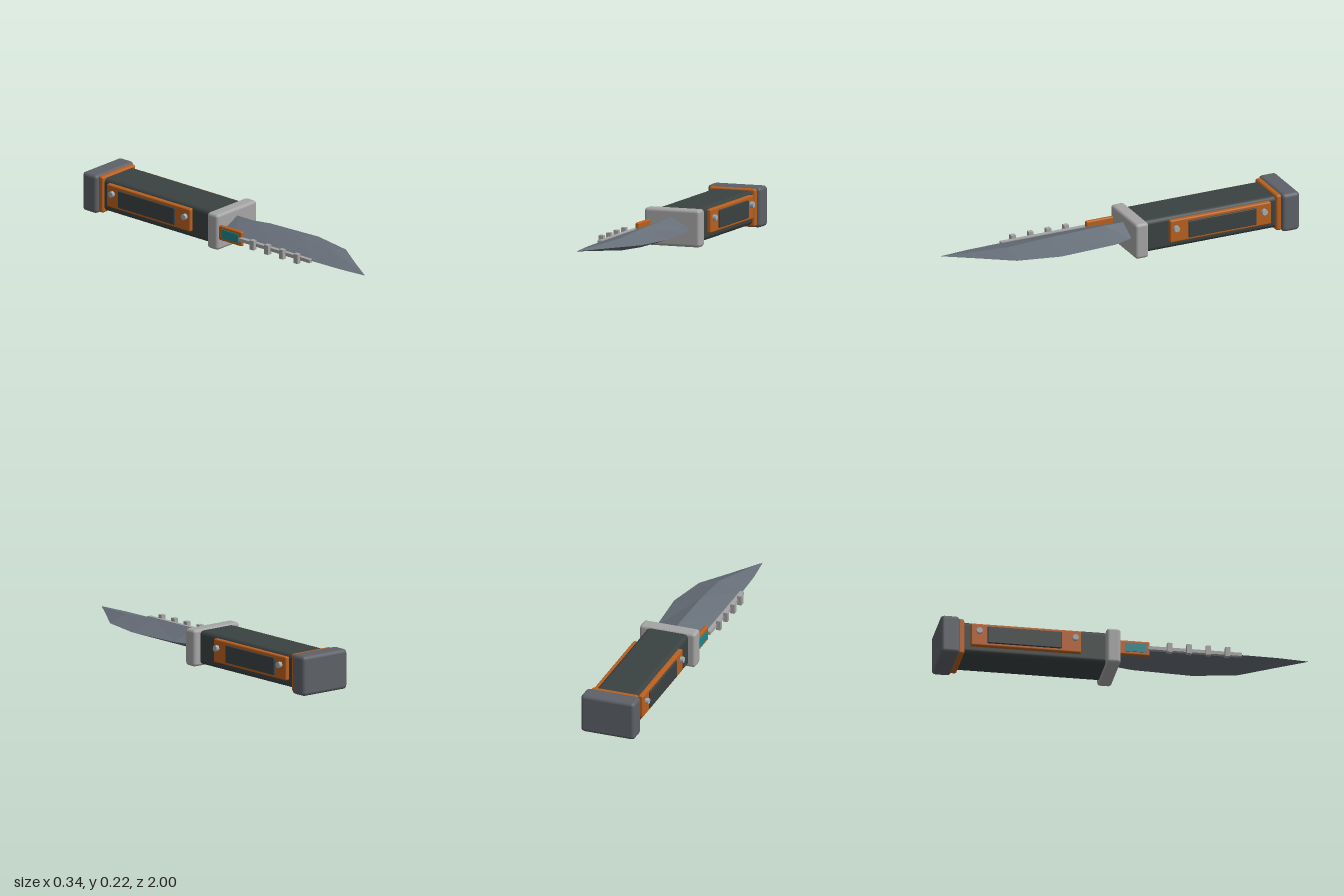
import * as THREE from 'three';
import { RoundedBoxGeometry } from 'three/addons/geometries/RoundedBoxGeometry.js';

const mat = (name, color) => {
  const m = new THREE.MeshStandardMaterial({ color });
  m.name = name;
  return m;
};

export function createModel() {
  const model = new THREE.Group();
  model.name = 'knife';

  const bladeSteel = mat('bladeSteel', 0x666e78);
  bladeSteel.flatShading = true;
  const gripDark = mat('gripDark', 0x3a4241);
  const guardGrey = mat('guardGrey', 0xa5a5a5);
  const pommelGrey = mat('pommelGrey', 0x5d6167);
  const orange = mat('orange', 0xb8601e);
  const teal = mat('teal', 0x1c868c);
  const boltSteel = mat('boltSteel', 0xa3adb6);

  const add = (name, geometry, material, parent = model) => {
    const mesh = new THREE.Mesh(geometry, material);
    mesh.name = name;
    parent.add(mesh);
    return mesh;
  };
  // Box given by its extents; a radius rounds its edges
  const box = (name, material, [x0, x1], [y0, y1], [z0, z1], radius = 0, parent = model) => {
    const size = [x1 - x0, y1 - y0, z1 - z0];
    const geometry = radius
      ? new RoundedBoxGeometry(...size, 2, radius)
      : new THREE.BoxGeometry(...size);
    const mesh = add(name, geometry, material, parent);
    mesh.position.set((x0 + x1) / 2, (y0 + y1) / 2, (z0 + z1) / 2);
    return mesh;
  };

  // Grip, collar, pommel and guard
  box('grip', gripDark, [-0.113, 0.127], [0.018, 0.203], [-0.89, -0.08], 0.025);
  box('collar', orange, [-0.126, 0.141], [0.007, 0.213], [-0.903, -0.868], 0.012);
  box('pommel', pommelGrey, [-0.147, 0.162], [0, 0.219], [-1, -0.896], 0.02);
  box('guard', guardGrey, [-0.152, 0.168], [0.008, 0.21], [-0.1, -0.022], 0.017);

  // Side plates with a dark inset and two bolts, mirrored on both sides of the grip
  for (const side of [1, -1]) {
    const plate = new THREE.Group();
    plate.name = side > 0 ? 'leftSidePlate' : 'rightSidePlate';
    plate.position.x = 0.007;
    model.add(plate);
    const span = (a, b) => (side > 0 ? [a, b] : [-b, -a]);
    box('plate', orange, span(0.1, 0.141), [0.058, 0.187], [-0.835, -0.235], 0.008, plate);
    box('gripPad', gripDark, span(0.11, 0.15), [0.074, 0.17], [-0.745, -0.342], 0.004, plate);
    for (const z of [-0.79, -0.268]) {
      const bolt = add('bolt', new THREE.CylinderGeometry(0.017, 0.017, 0.04, 8), boltSteel, plate);
      bolt.rotation.z = Math.PI / 2;
      bolt.position.set(side * 0.14, 0.14, z);
    }
  }

  // Blade: diamond cross-sections [z, spine x, edge x, ridge x, half thickness]
  const sections = [
    [-0.06, -0.105, 0.1, 0.008, 0.056],
    [-0.02, -0.113, 0.11, 0.008, 0.056],
    [0.09, -0.134, 0.148, 0.008, 0.056],
    [0.42, -0.138, 0.167, 0.008, 0.049],
    [0.66, -0.138, 0.116, 0.0, 0.034],
    [0.83, -0.134, -0.001, -0.055, 0.017],
    [1, -0.118, -0.114, -0.116, 0.001],
  ];
  const midY = 0.111;
  const rings = sections.map(([z, spine, edge, ridge, t]) => [
    [edge, midY, z], [ridge, midY + t, z], [spine, midY, z], [ridge, midY - t, z],
  ]);
  const points = [];
  for (let i = 0; i < rings.length - 1; i++) {
    for (let k = 0; k < 4; k++) {
      const n = (k + 1) % 4;
      const [a, b, c, d] = [rings[i][k], rings[i][n], rings[i + 1][n], rings[i + 1][k]];
      points.push(...a, ...b, ...c, ...a, ...c, ...d);
    }
  }
  const [t0, t1, t2, t3] = rings[rings.length - 1];
  points.push(...t0, ...t1, ...t2, ...t0, ...t2, ...t3);
  const bladeGeometry = new THREE.BufferGeometry();
  bladeGeometry.setAttribute('position', new THREE.Float32BufferAttribute(points, 3));
  bladeGeometry.computeVertexNormals();
  bladeSteel.side = THREE.DoubleSide;
  add('blade', bladeGeometry, bladeSteel);

  // Spine rail with its row of teeth
  box('spineRail', guardGrey, [-0.151, -0.128], [0.1, 0.119], [0.128, 0.636]);
  for (let i = 0; i < 4; i++) {
    const z = 0.24 + i * 0.105;
    box('tooth', guardGrey, [-0.172, -0.146], [0.084, 0.137], [z - 0.014, z + 0.014]);
  }

  // Small housing beside the guard with a teal window
  box('indicatorHousing', orange, [-0.138, -0.115], [0.067, 0.15], [-0.04, 0.137], 0.008);
  box('indicatorWindow', teal, [-0.142, -0.134], [0.084, 0.133], [0.0, 0.118]);

  return model;
}
